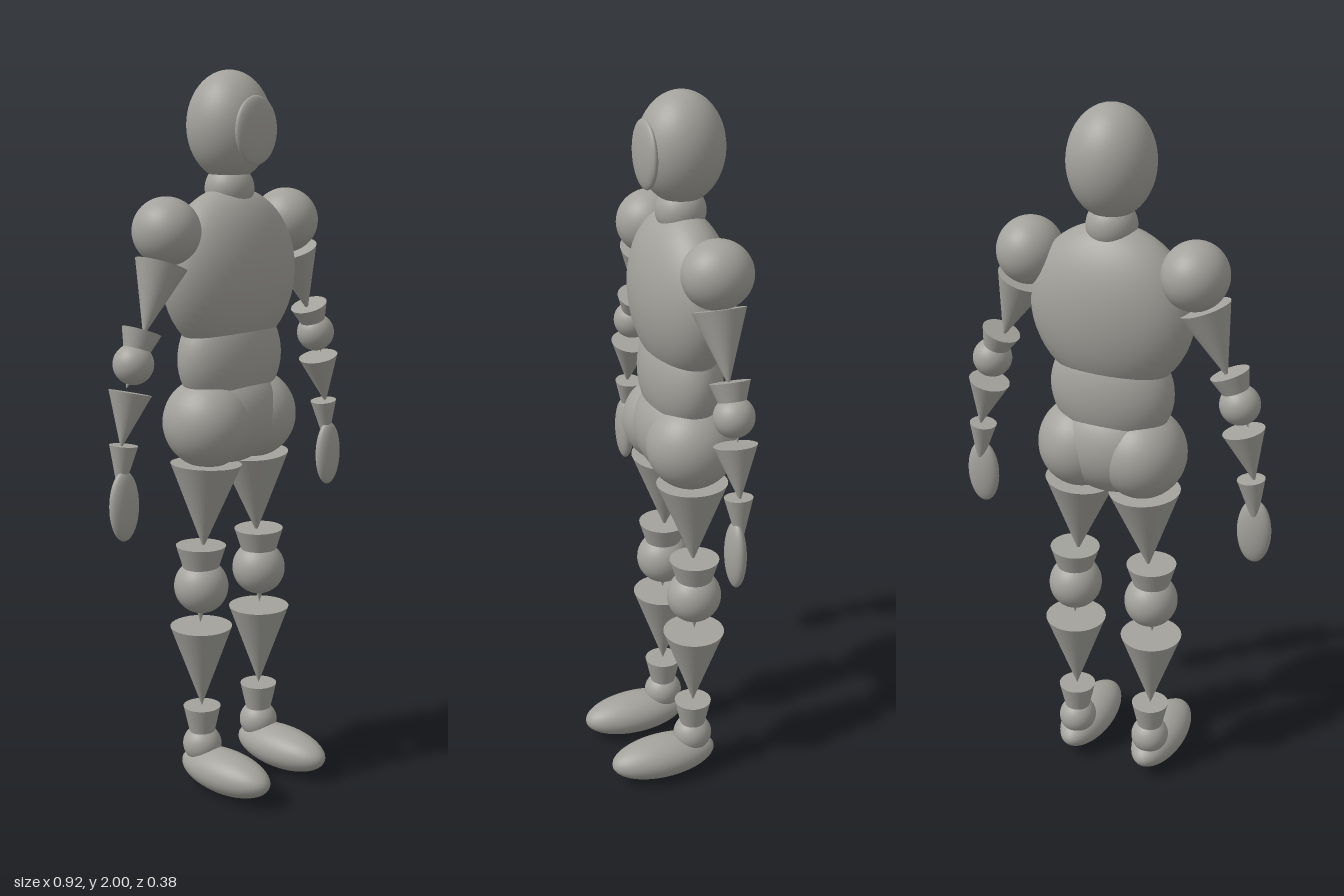
import * as THREE from 'three';

const BACK = -0.06; // depth of the body's centre line

export function createModel() {
  const model = new THREE.Group();
  model.name = 'jointedMannequin';
  const gray = new THREE.MeshStandardMaterial({ color: 0xa3a29c });
  gray.name = 'warm gray';

  const ball = new THREE.SphereGeometry(1, 40, 28);

  // Ellipsoid at (x, y, z) with three radii
  function ellipsoid(parent, name, x, y, z, rx, ry, rz) {
    const mesh = new THREE.Mesh(ball, gray);
    mesh.name = name;
    mesh.position.set(x, y, z);
    mesh.scale.set(rx, ry, rz);
    parent.add(mesh);
  }

  // Capped cone from the centre of its base to its tip, both given as [x, y]
  function spike(parent, name, base, tip, radius) {
    const from = new THREE.Vector3(base[0], base[1], BACK);
    const to = new THREE.Vector3(tip[0], tip[1], BACK);
    const axis = to.clone().sub(from);
    const mesh = new THREE.Mesh(new THREE.ConeGeometry(radius, axis.length(), 32), gray);
    mesh.name = name;
    mesh.position.copy(from).add(to).multiplyScalar(0.5);
    mesh.quaternion.setFromUnitVectors(new THREE.Vector3(0, 1, 0), axis.normalize());
    parent.add(mesh);
  }

  // Head and trunk
  ellipsoid(model, 'head', 0, 1.855, BACK, 0.115, 0.145, 0.115);
  ellipsoid(model, 'facePlate', 0, 1.845, 0.038, 0.078, 0.09, 0.02);
  ellipsoid(model, 'neck', 0, 1.69, BACK, 0.067, 0.067, 0.067);
  ellipsoid(model, 'chest', 0, 1.465, BACK, 0.228, 0.23, 0.125);
  ellipsoid(model, 'abdomen', 0, 1.235, BACK, 0.175, 0.165, 0.105);
  ellipsoid(model, 'pelvis', 0, 1.075, BACK, 0.165, 0.14, 0.122);

  for (const s of [1, -1]) {
    const side = s > 0 ? 'left' : 'right';

    // Arm
    const arm = new THREE.Group();
    arm.name = side + 'Arm';
    ellipsoid(arm, 'shoulder', s * 0.232, 1.59, -0.065, 0.088, 0.09, 0.094);
    spike(arm, 'upperArm', [s * 0.257, 1.507], [s * 0.325, 1.325], 0.07);
    spike(arm, 'elbowCup', [s * 0.33, 1.34], [s * 0.387, 1.195], 0.053);
    ellipsoid(arm, 'elbow', s * 0.361, 1.257, BACK, 0.054, 0.054, 0.054);
    spike(arm, 'forearm', [s * 0.374, 1.184], [s * 0.41, 1.04], 0.057);
    spike(arm, 'wrist', [s * 0.4, 1.048], [s * 0.418, 0.9], 0.038);
    ellipsoid(arm, 'hand', s * 0.411, 0.888, -0.05, 0.048, 0.095, 0.024);
    model.add(arm);

    // Leg
    const leg = new THREE.Group();
    leg.name = side + 'Leg';
    ellipsoid(leg, 'hip', s * 0.09, 1.06, BACK, 0.12, 0.125, 0.126);
    spike(leg, 'thigh', [s * 0.096, 0.945], [s * 0.109, 0.705], 0.099);
    spike(leg, 'kneeCup', [s * 0.118, 0.715], [s * 0.122, 0.49], 0.07);
    ellipsoid(leg, 'knee', s * 0.118, 0.597, BACK, 0.075, 0.077, 0.077);
    spike(leg, 'calf', [s * 0.119, 0.48], [s * 0.119, 0.24], 0.087);
    spike(leg, 'ankleCup', [s * 0.118, 0.24], [s * 0.118, 0], 0.053);
    ellipsoid(leg, 'ankle', s * 0.118, 0.125, BACK, 0.054, 0.054, 0.056);
    ellipsoid(leg, 'foot', s * 0.118, 0.066, 0.032, 0.072, 0.06, 0.159);
    model.add(leg);
  }
  return model;
}
